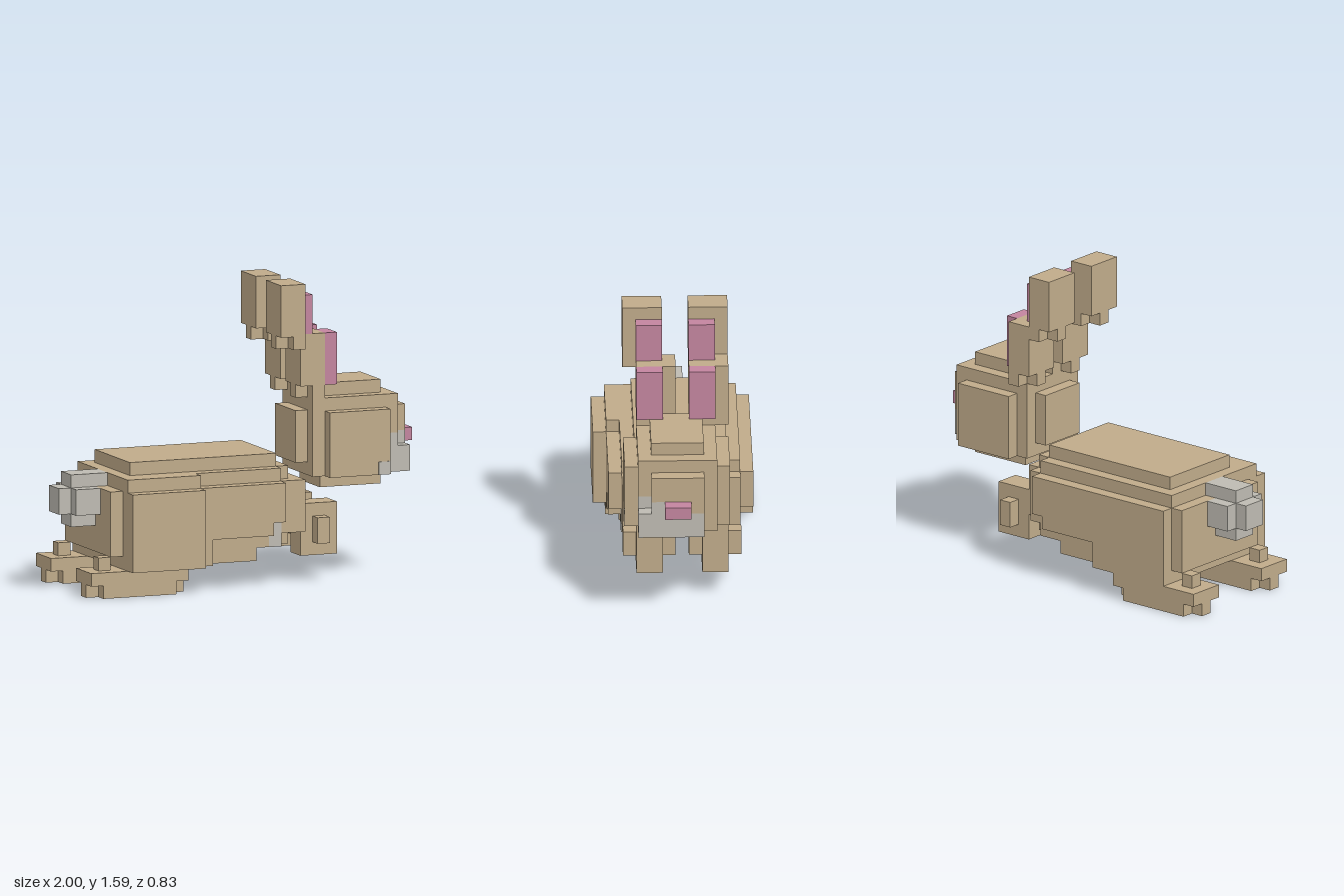
import * as THREE from 'three';

// Block grid: x counts 0..29 from the tail, y from the ground, z from the middle
const U = 2 / 29;

const makeMaterial = (name, color) => {
  const m = new THREE.MeshStandardMaterial({ color });
  m.name = name;
  return m;
};

export function createModel() {
  const model = new THREE.Group();
  const fur = makeMaterial('tan fur', 0xc0ab8a);
  const pink = makeMaterial('pink skin', 0xc3859f);
  const grey = makeMaterial('pale grey fur', 0xbebbb2);

  // Each block is [x0, x1, y0, y1, z0, z1] in grid units
  function part(name, material, blocks) {
    const group = new THREE.Group();
    group.name = name;
    for (const [x0, x1, y0, y1, z0, z1] of blocks) {
      const geo = new THREE.BoxGeometry((x1 - x0) * U, (y1 - y0) * U, (z1 - z0) * U);
      const mesh = new THREE.Mesh(geo, material);
      mesh.name = name + 'Block';
      mesh.position.set(((x0 + x1) / 2 - 14.5) * U, ((y0 + y1) / 2) * U, ((z0 + z1) / 2) * U);
      group.add(mesh);
    }
    model.add(group);
  }

  // Body is mirrored about z = -0.5
  const flip = ([a, b, c, d, z0, z1]) => [a, b, c, d, -1 - z1, -1 - z0];
  const both = (blocks) => [...blocks, ...blocks.map(flip)];

  part('body', fur, [
    [5, 17, 9, 10, -4, 3],
    [4, 17, 8, 9, -5, 4],
    [17, 18, 8, 9, -4, 3],
    [3, 18, 4, 8, -5, 4],
    [18, 19, 4, 8, -4, 4],
    [3, 12, 3, 4, -5, 4],
    [17, 18, 3, 4, -4, 3],
    [4, 11, 2, 3, -3, 2],
  ]);
  part('flank', fur, [
    ...both([[11, 16, 4, 8, 4, 5], [16, 17, 5, 8, 4, 5]]),
    [12, 16, 3, 4, 3, 4],
    [12, 17, 3, 4, -5, -3],
    ...both([[11, 15, 2, 3, 2, 4]]),
  ]);
  part('belly', grey, [
    [12, 17, 3, 4, -3, 3],
    [16, 17, 3, 5, 3, 4.05],
  ]);

  // Hind legs: haunch, heel bump and foot with cut corners
  part('haunch', fur, [
    ...both([[4, 11, 2, 8, 2, 5], [3, 4, 3, 8, 2, 4]]),
    [4, 10, 8, 9, 4, 5],
    [4, 10, 2, 8, 5, 6],
  ]);
  part('hindFoot', fur, both([
    [1, 9, 1, 2, 2, 5],
    [2, 8, 0, 1, 2, 5],
    [1, 9, 0, 1, 3, 4],
    [2, 3, 2, 3, 3, 4],
  ]));

  // Front legs with a small bump on each side
  part('frontLeg', fur, both([
    [19, 22, 2, 6, 1, 3],
    [20, 21, 3, 5, 0, 4],
  ]));

  part('tail', grey, [
    [1, 4, 5, 9, -1, 1],
    [1, 3, 6, 8, -2, 2],
    [0, 1, 6, 8, -1, 1],
  ]);

  // Head: stepped blocks, leaving room for the muzzle
  part('head', fur, [
    [21, 26, 8, 13, -4, 4],
    [21, 26, 7, 15, -2, 2],
    [20, 26, 8, 14, -3, 3],
    [19, 20, 9, 13, -2, 2],
    [26, 27, 10, 14, -3, 2],
    [26, 27, 11, 14, 2, 3],
    [26, 27, 8, 10, -3, -2],
    [27, 28, 11, 13, -2, 2],
    [27, 28, 10, 11, -2, 1],
  ]);
  part('muzzle', grey, [
    [26, 28, 8, 10, -2, 3],
    [26, 27, 10, 11, 2, 3],
    [27, 28, 10, 11, 1, 2],
    [25, 26, 8, 9, 4, 4.05],
  ]);
  part('nose', pink, [[28, 29, 10, 11, -1, 1]]);

  // Ears lean back in two steps, each step with a notch at its rear foot
  const earStep = (x, y0, y1, z0) => [
    [x, x + 2, y0 + 1, y1, z0, z0 + 3],
    [x + 1, x + 2, y0, y0 + 1, z0, z0 + 3],
    [x, x + 1, y0, y0 + 1, z0 + 1, z0 + 2],
  ];
  part('ear', fur, [
    ...earStep(17, 18, 23, 1),
    ...earStep(19, 14, 19, 0),
    ...earStep(17, 18, 23, -4),
    ...earStep(19, 14, 19, -4),
  ]);
  for (const z of [1, -3]) {
    part('innerEar', pink, [
      [19, 20, 19, 22, z, z + 2],
      [21, 22, 15, 19, z, z + 2],
      [19, 19.1, 18, 19, z, z + 2],
    ]);
  }
  return model;
}
